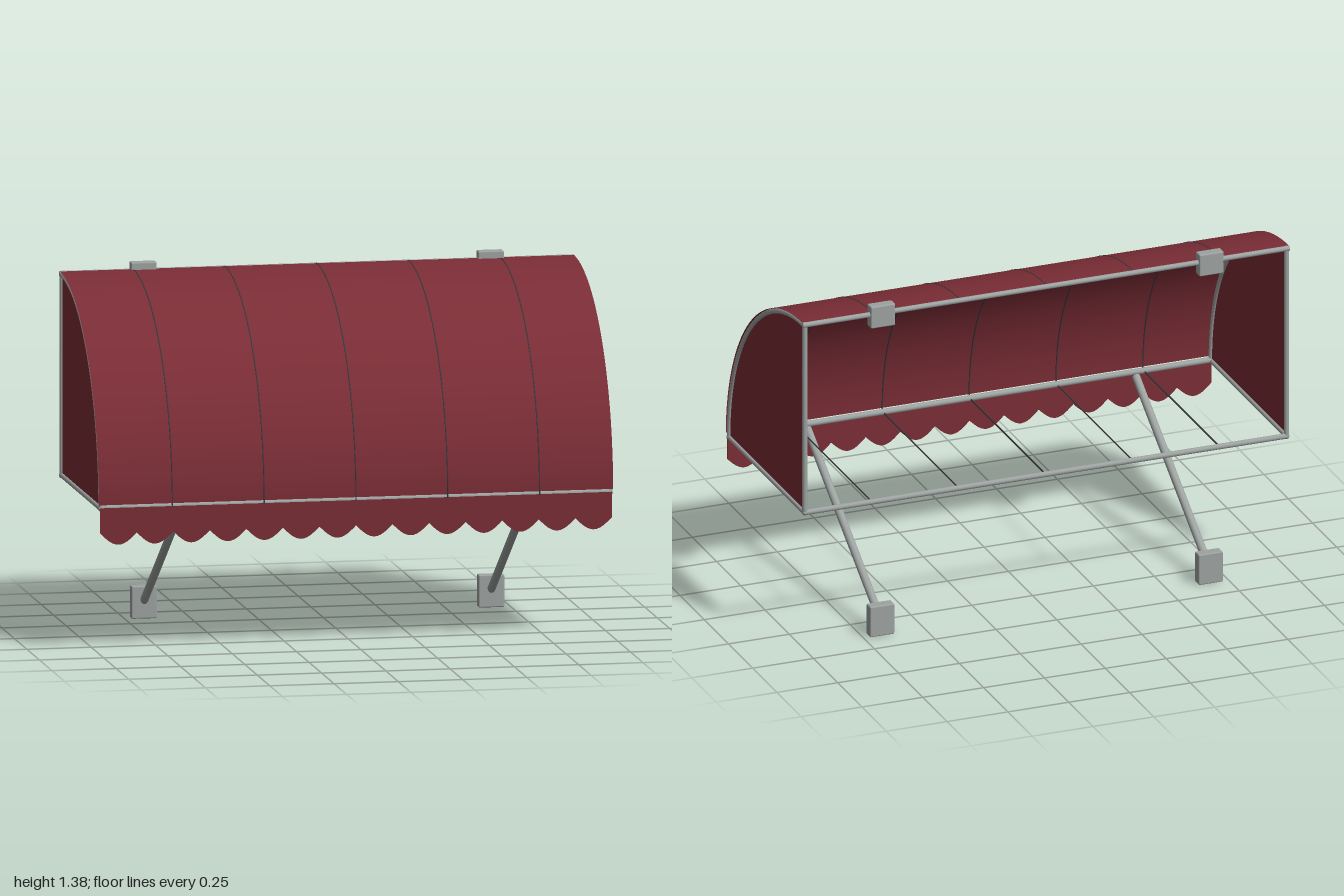
import * as THREE from 'three';
import { RoundedBoxGeometry } from 'three/addons/geometries/RoundedBoxGeometry.js';

const fabric = new THREE.MeshStandardMaterial({ color: 0x7b2d36, side: THREE.DoubleSide });
fabric.name = 'red fabric';
const metal = new THREE.MeshStandardMaterial({ color: 0x9da3a1 });
metal.name = 'grey metal';
const dark = new THREE.MeshStandardMaterial({ color: 0x3c3a3c });
dark.name = 'dark wire';

// Main dimensions: the hood is a quarter circle about (BASE, BACK)
const BASE = 0.56, BACK = -0.385, FRONT = 0.393, RADIUS = 0.79, SIDE = 0.99, ARM_X = 0.675;

export function createModel() {
  const group = new THREE.Group();
  const add = (name, geometry, material) => {
    const mesh = new THREE.Mesh(geometry, material);
    mesh.name = name;
    group.add(mesh);
    return mesh;
  };
  const v = (x, y, z) => new THREE.Vector3(x, y, z);

  // Straight round bar between two points
  const bar = (name, a, b, r, material = metal) => {
    const mesh = add(name, new THREE.CylinderGeometry(r, r, a.distanceTo(b), 14), material);
    mesh.position.copy(a).add(b).multiplyScalar(0.5);
    mesh.quaternion.setFromUnitVectors(v(0, 1, 0), b.clone().sub(a).normalize());
  };

  // Quarter-circle rod in the plane of constant x
  const arc = (name, x, radius, r, material) => {
    const pts = [];
    for (let i = 0; i <= 24; i++) {
      const t = (i / 24) * Math.PI / 2;
      pts.push(v(x, BASE + radius * Math.sin(t), BACK + radius * Math.cos(t)));
    }
    add(name, new THREE.TubeGeometry(new THREE.CatmullRomCurve3(pts), 56, r, 10), material);
  };

  // Curved hood
  const start = 0.018;
  const hood = new THREE.CylinderGeometry(RADIUS, RADIUS, 2, 56, 1, true, start, Math.PI / 2 - start);
  hood.rotateZ(Math.PI / 2);
  hood.translate(0, BASE, BACK);
  add('hoodFabric', hood, fabric);

  // Scalloped valance
  const scallops = 14, steps = 12, half = 0.995;
  const edge = new THREE.Shape().moveTo(-half, 0.563);
  for (let i = 0; i <= scallops * steps; i++) {
    const t = (i % steps) / steps;
    edge.lineTo(-half + (2 * half * i) / (scallops * steps), 0.465 - 0.045 * Math.sin(Math.PI * t));
  }
  edge.lineTo(half, 0.563);
  const valance = new THREE.ExtrudeGeometry(edge, { depth: 0.004, bevelEnabled: false });
  valance.translate(0, 0, 0.401);
  add('valance', valance, fabric);

  // Seams over the hood and wires beneath it
  for (let i = -2; i <= 2; i++) {
    const x = i * 0.357;
    arc('seam', x, RADIUS - 0.001, 0.0028, dark);
    bar('lowerWire', v(x, BASE, BACK), v(x, BASE, FRONT), 0.003, dark);
  }

  // End panels with their tubular frames
  for (const s of [-1, 1]) {
    const x = s * SIDE;
    const quarter = new THREE.Shape().moveTo(0, 0).lineTo(0.78, 0);
    quarter.absarc(0, 0, 0.78, 0, Math.PI / 2, false);
    const panel = new THREE.ShapeGeometry(quarter, 48);
    panel.rotateY(-Math.PI / 2);
    panel.translate(x, BASE, BACK);
    add('endPanel', panel, fabric);

    arc('endArch', x, 0.778, 0.01, metal);
    bar('endUpright', v(x, BASE, BACK), v(x, 1.34, BACK), 0.01);
    bar('endRail', v(x, BASE, BACK), v(x, BASE, FRONT), 0.01);
    for (const [y, z] of [[BASE, BACK], [1.34, BACK], [BASE, FRONT]])
      add('cornerJoint', new THREE.SphereGeometry(0.0115, 14, 10), metal).position.set(x, y, z);
  }

  // Long rails
  bar('topRail', v(-1, 1.341, BACK - 0.002), v(1, 1.341, BACK - 0.002), 0.0105);
  bar('backRail', v(-SIDE, BASE, BACK), v(SIDE, BASE, BACK), 0.011);
  bar('frontRail', v(-SIDE, BASE + 0.003, FRONT), v(SIDE, BASE + 0.003, FRONT), 0.012);

  // Support arms and wall brackets
  for (const s of [-1, 1]) {
    const x = s * ARM_X;
    bar('supportArm', v(x, 0.55, 0.378), v(x, 0.065, -0.37), 0.016);
    add('wallFoot', new RoundedBoxGeometry(0.1, 0.126, 0.042, 2, 0.005), metal).position.set(x, 0.063, -0.375);
    add('topBracket', new RoundedBoxGeometry(0.1, 0.09, 0.042, 2, 0.005), metal).position.set(x, 1.333, -0.384);
  }
  return group;
}
